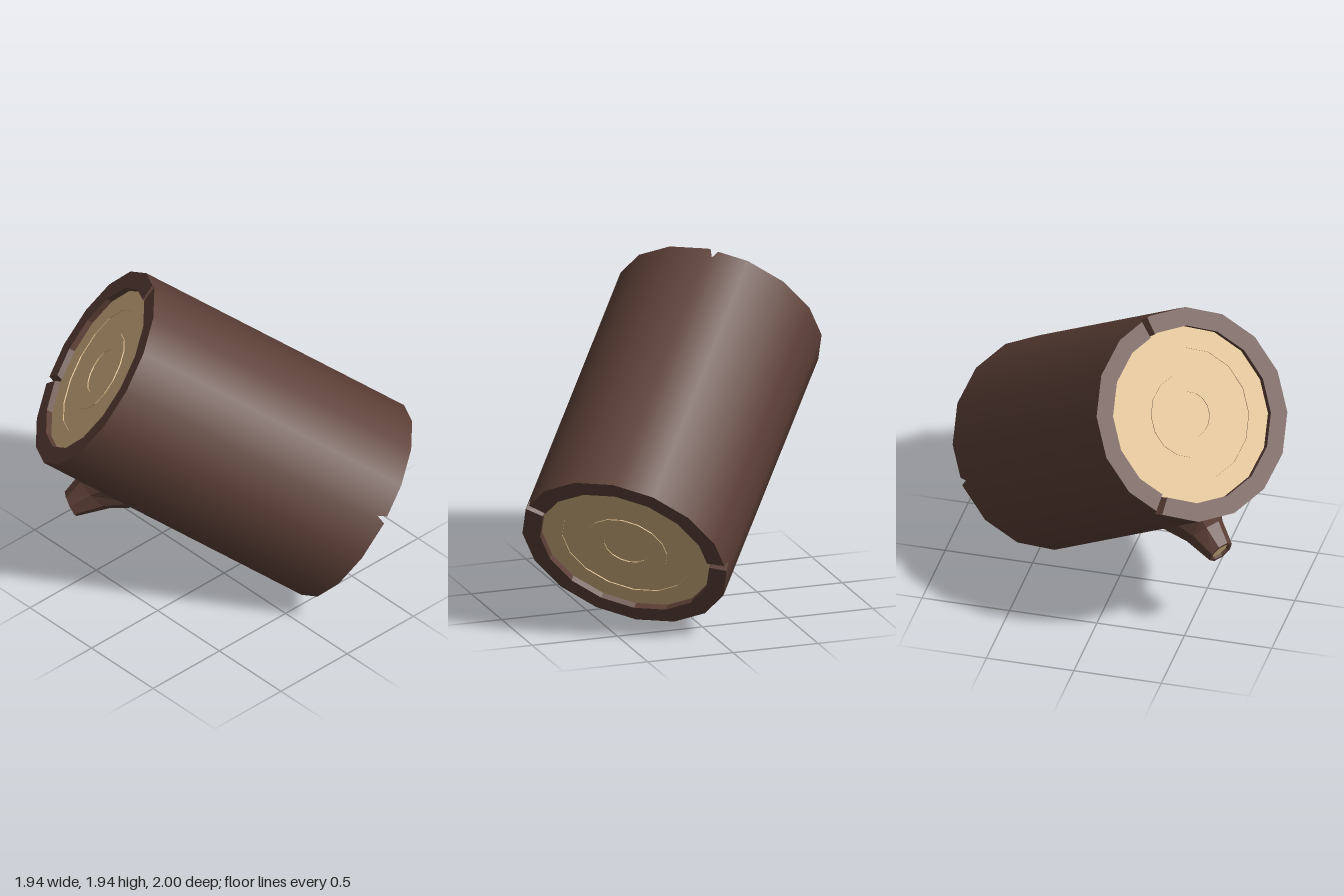
import * as THREE from 'three';

const R = 0.597, INNER = 0.494, HALF = 0.857, SIDES = 16, STEP = Math.PI * 2 / SIDES;
const V = (x, y, z) => new THREE.Vector3(x, y, z);

// Log axis, tilted towards the front, up and to the model's right
const axis = V(-0.548, 0.554, 0.624).normalize();
const tilt = new THREE.Quaternion().setFromUnitVectors(V(0, 1, 0), axis);
const untilt = tilt.clone().invert();
const angleOf = (x, y, z) => {
  const v = V(x, y, z).applyQuaternion(untilt);
  return Math.atan2(v.z, v.x);
};
const wrap = (a, m) => ((a % m) + m) % m;

const phase = angleOf(0.339, 0.478, -0.127);
const notches = [
  { a: angleOf(0.155, 0.43, -0.315), end: 1 },
  { a: angleOf(-0.41, -0.33, -0.055), end: 1 },
  { a: angleOf(0.454, 0.23, 0.195), end: -1 },
  { a: angleOf(-0.42, -0.03, -0.345), end: -1 },
];

// Point on a 16-sided prism at angle a
function polar(a, radius, y) {
  const r = radius * Math.cos(STEP / 2) / Math.cos(wrap(a - phase, STEP) - STEP / 2);
  return V(r * Math.cos(a), y, r * Math.sin(a));
}

// Collects quads; smooth quads take radial normals, others face normals
function quadBuilder() {
  const pos = [], nor = [];
  return {
    tri(p, smooth) {
      const n = V(0, 0, 0).crossVectors(p[1].clone().sub(p[0]), p[2].clone().sub(p[0])).normalize();
      for (const v of p) {
        pos.push(v.x, v.y, v.z);
        const m = smooth ? V(v.x, 0, v.z).normalize() : n;
        nor.push(m.x, m.y, m.z);
      }
    },
    quad(a, b, c, d, smooth = false) {
      this.tri([a, b, c], smooth);
      this.tri([a, c, d], smooth);
    },
    build() {
      const g = new THREE.BufferGeometry();
      g.setAttribute('position', new THREE.Float32BufferAttribute(pos, 3));
      g.setAttribute('normal', new THREE.Float32BufferAttribute(nor, 3));
      return g;
    },
  };
}

// Bark tube with V-shaped splits in both rims
function barkGeometry() {
  const w = 0.035;
  const angles = [];
  for (let i = 0; i < SIDES; i++) angles.push(wrap(phase + i * STEP, Math.PI * 2));
  for (const n of notches) for (const k of [-w, 0, w]) angles.push(wrap(n.a + k, Math.PI * 2));
  angles.sort((a, b) => a - b);
  const rimY = (a, end) => {
    let dip = 0;
    for (const n of notches) {
      if (n.end !== end) continue;
      const d = Math.abs(wrap(a - n.a + Math.PI, Math.PI * 2) - Math.PI);
      dip = Math.max(dip, 0.055 * (1 - d / w));
    }
    return end * (HALF - dip);
  };
  const q = quadBuilder();
  angles.forEach((a, i) => {
    const b = angles[(i + 1) % angles.length];
    const at = (t, r, end) => polar(t, r, rimY(t, end));
    q.quad(at(a, R, -1), at(a, R, 1), at(b, R, 1), at(b, R, -1), true);
    for (const end of [1, -1]) {
      const deep = end * (HALF - 0.08);
      const p = [at(a, R, end), at(a, INNER, end), at(b, INNER, end), at(b, R, end)];
      const wall = [p[1], polar(a, INNER, deep), polar(b, INNER, deep), p[2]];
      if (end < 0) { p.reverse(); wall.reverse(); }
      q.quad(...p);
      q.quad(...wall);
    }
  });
  return q.build();
}

// Recessed cut wood with slightly stepped growth rings
function woodGeometry(ph) {
  const y = HALF - 0.035, s = 0.006;
  const profile = [[INNER, y], [0.376, y], [0.376, y - s], [0.236, y - s], [0.236, y],
    [0.13, y], [0.13, y - s], [0, y - s]].map(([r, h]) => new THREE.Vector2(r, h));
  const g = new THREE.LatheGeometry(profile, SIDES, Math.PI / 2 - ph, Math.PI * 2).toNonIndexed();
  g.computeVertexNormals();
  return g;
}

// Branch stub: flared eight-sided loft from the bark out to a small cut end
function branchGeometries() {
  const n = 8, dir = angleOf(-0.2215, -0.671, 0.404);
  const out = V(Math.cos(dir), 0, Math.sin(dir)), up = V(0, 1, 0);
  const side = V(0, 0, 0).crossVectors(out, up);
  const point = (r, y, t) => out.clone().multiplyScalar(r).addScaledVector(up, y).addScaledVector(side, t);
  // radial distance, axial centre, axial half, sideways half, lean of the section
  const sections = [
    [0.575, 0.34, 0.24, 0.17, 0],
    [0.67, 0.42, 0.13, 0.11, 0.25],
    [0.805, 0.49, 0.075, 0.077, 0.6],
    [0.805, 0.49, 0.058, 0.06, 0.6],
    [0.79, 0.481, 0.058, 0.06, 0.6],
  ];
  const rings = sections.map(([r, y, ha, hs, lean], k) => Array.from({ length: n }, (_, i) => {
    const a = (i + 0.5) / n * Math.PI * 2, u = Math.cos(a) * ha, t = Math.sin(a) * hs;
    const c = 1 / Math.hypot(1, lean);
    return point(k === 0 ? Math.sqrt(r * r - t * t) : r - u * lean * c, y + u * c, t);
  }));
  const bark = quadBuilder(), wood = quadBuilder();
  for (let i = 0; i < n; i++) {
    const j = (i + 1) % n;
    for (let k = 0; k + 1 < rings.length; k++) {
      bark.quad(rings[k][i], rings[k][j], rings[k + 1][j], rings[k + 1][i]);
    }
    wood.tri([rings[4][i], rings[4][j], point(0.79, 0.481, 0)], false);
  }
  return [bark.build(), wood.build()];
}

export function createModel() {
  const bark = new THREE.MeshStandardMaterial({ color: 0x5d4037 });
  bark.name = 'bark brown';
  const wood = new THREE.MeshStandardMaterial({ color: 0xd4b483 });
  wood.name = 'cut wood tan';

  const log = new THREE.Group();
  log.name = 'log';
  const add = (name, geometry, material) => {
    const m = new THREE.Mesh(geometry, material);
    m.name = name;
    log.add(m);
    return m;
  };
  add('bark', barkGeometry(), bark);
  add('frontCutWood', woodGeometry(phase), wood);
  add('backCutWood', woodGeometry(-phase), wood).rotation.x = Math.PI;
  const [stub, stubEnd] = branchGeometries();
  add('branchStub', stub, bark);
  add('branchCutWood', stubEnd, wood);

  log.quaternion.copy(tilt);
  log.position.y = 0.975;
  const model = new THREE.Group();
  model.name = 'logModel';
  model.add(log);
  return model;
}
